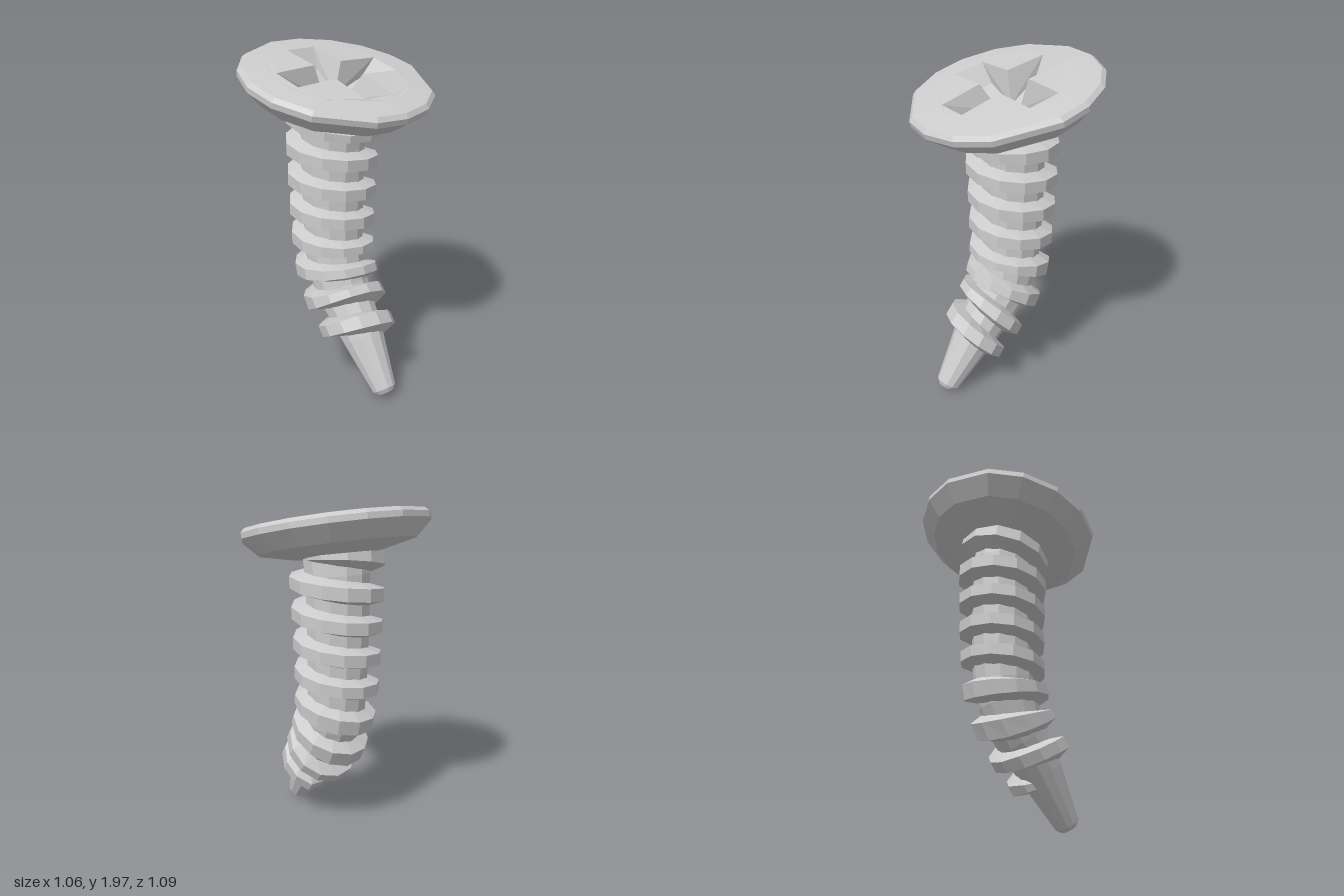
import * as THREE from 'three';

const material = new THREE.MeshStandardMaterial({ color: 0xcccccc, flatShading: true });

function meshFrom(name, positions) {
  const g = new THREE.BufferGeometry();
  g.setAttribute('position', new THREE.Float32BufferAttribute(positions, 3));
  g.computeVertexNormals();
  const m = new THREE.Mesh(g, material);
  m.name = name;
  return m;
}

function addQuad(out, a, b, c, d) {
  for (const p of [a, b, c, a, c, d]) out.push(p.x, p.y, p.z);
}

// Skin closed cross-sections one after another
function loft(name, rings) {
  const out = [];
  for (let i = 0; i < rings.length - 1; i++) {
    const n = rings[i].length;
    for (let j = 0; j < n; j++) {
      const k = (j + 1) % n;
      addQuad(out, rings[i][j], rings[i][k], rings[i + 1][k], rings[i + 1][j]);
    }
  }
  return meshFrom(name, out);
}

// Linear interpolation through [position, value] stops
function ramp(stops, t) {
  let i = 1;
  while (i < stops.length - 1 && t > stops[i][0]) i++;
  const [a, va] = stops[i - 1], [b, vb] = stops[i];
  return va + (vb - va) * THREE.MathUtils.clamp((t - a) / (b - a), 0, 1);
}

// Bent centre line, from under the head to the tip
const axis = new THREE.CatmullRomCurve3([
  [-0.025, 1.7], [-0.042, 1.6], [-0.05, 1.3], [-0.045, 1.0], [-0.03, 0.8],
  [0.04, 0.6], [0.13, 0.48], [0.21, 0.38], [0.33, 0.213], [0.447, 0.052],
].map(([x, y]) => new THREE.Vector3(x, y, 0)));
axis.arcLengthDivisions = 400;
const length = axis.getLength();

// Point at distance s along the axis, angle a around it and radius r
function around(s, a, r) {
  const u = THREE.MathUtils.clamp(s / length, 0, 1);
  const p = axis.getPointAt(u), t = axis.getTangentAt(u);
  const c = r * Math.cos(a);
  return new THREE.Vector3(p.x - t.y * c, p.y + t.x * c, r * Math.sin(a));
}

const coreStops = [[0, 0.19], [0.9, 0.175], [1.1, 0.165], [1.39, 0.135], [length, 0.068]];
const crestStops = [[0, 0.28], [0.35, 0.265], [0.7, 0.25], [1.1, 0.24], [1.3, 0.225], [1.47, 0.2]];

function makeShank() {
  const sides = 12, rings = [];
  const ring = (s, r) => rings.push(Array.from({ length: sides },
    (_, j) => around(s, (j + 0.5) / sides * Math.PI * 2, r)));
  const steps = 16;
  for (let i = 0; i <= steps; i++) {
    const s = (length - 0.025) * i / steps;
    ring(s, ramp(coreStops, s));
  }
  // Blunt rounded tip
  ring(length, 0.05);
  ring(length, 0);
  return loft('shank', rings);
}

function makeThread() {
  const perTurn = 12, first = -0.3, last = 8.08, rings = [];
  const count = Math.round((last - first) * perTurn);
  for (let i = 0; i <= count; i++) {
    const k = first + (last - first) * i / count;
    const s = Math.max(0, 0.02 + 0.181 * k);
    const a = Math.PI - k * Math.PI * 2;
    const core = ramp(coreStops, s) - 0.02;
    const fade = ramp([[first, 0], [first + 0.2, 1], [last - 0.15, 1], [last, 0]], k);
    const crest = core + (ramp(crestStops, s) - core) * fade;
    const w = 0.35 + 0.65 * fade;
    rings.push([
      around(s - 0.065 * w, a, core), around(s - 0.034 * w, a, crest),
      around(s + 0.034 * w, a, crest), around(s + 0.065 * w, a, core),
    ]);
  }
  return loft('thread', rings);
}

// Uneven corners of the head outline, in degrees
const headAngles = [-85, -46, -24, -3, 17, 52, 76, 97, 120, 142, 171, 193, 214, 235, 256]
  .map(THREE.MathUtils.degToRad);
const dome = (r) => 0.005 + 0.028 * (1 - (r / 0.52) ** 2);

function makeHead() {
  const head = new THREE.Group();
  head.name = 'head';
  const ring = (r, y) => headAngles.map((a) => new THREE.Vector3(r * Math.cos(a), y, r * Math.sin(a)));
  head.add(loft('headBody', [
    ring(0.4, dome(0.4)), ring(0.525, 0.004), ring(0.547, -0.018), ring(0.545, -0.05),
    ring(0.452, -0.14), ring(0.25, -0.185), ring(0, -0.19),
  ]));

  // Slightly domed top face with a cross-shaped opening
  const L = 0.345, W = 0.095;
  const shape = new THREE.Shape(headAngles.map((a) =>
    new THREE.Vector2(0.4 * Math.cos(a), -0.4 * Math.sin(a))));
  const cross = [];
  for (let q = 0; q < 4; q++) {
    for (const [x, y] of [[L, -W], [L, W], [W, W]]) {
      cross.push(new THREE.Vector2(x, y).rotateAround(new THREE.Vector2(), q * Math.PI / 2));
    }
  }
  shape.holes.push(new THREE.Path(cross));
  const top = new THREE.ShapeGeometry(shape).rotateX(-Math.PI / 2);
  const p = top.attributes.position;
  for (let i = 0; i < p.count; i++) p.setY(i, dome(Math.hypot(p.getX(i), p.getZ(i))));
  top.computeVertexNormals();
  const face = new THREE.Mesh(top, material);
  face.name = 'headTop';
  head.add(face);

  // Driver recess: four arms sloping down to a small square floor
  const out = [];
  const up = new THREE.Vector3(0, 1, 0);
  const C = (z, x = 0.04) => new THREE.Vector3(x, -0.14, z);
  for (let q = 0; q < 4; q++) {
    const v = (x, y, z) => new THREE.Vector3(x, y, z).applyAxisAngle(up, q * Math.PI / 2);
    const pair = (x, y, z) => [v(x, y, z), v(x, y, -z)];
    const [o1, o2] = pair(L, dome(Math.hypot(L, W)), W);
    const [i1, i2] = pair(W, dome(Math.hypot(W, W)), W);
    const [m1, m2] = pair(0.25, -0.08, 0.072);
    const [c1, c2] = pair(0.04, -0.14, 0.04);
    addQuad(out, o1, o2, m2, m1);
    addQuad(out, m1, m2, c2, c1);
    addQuad(out, o1, m1, c1, i1);
    addQuad(out, c2, m2, o2, i2);
  }
  addQuad(out, C(0.04), C(-0.04), C(-0.04, -0.04), C(0.04, -0.04));
  head.add(meshFrom('driverRecess', out));

  head.position.set(0, 1.873, 0);
  head.rotation.z = -0.232;
  return head;
}

export function createModel() {
  const screw = new THREE.Group();
  screw.name = 'bentScrew';
  screw.add(makeHead(), makeShank(), makeThread());
  return screw;
}
